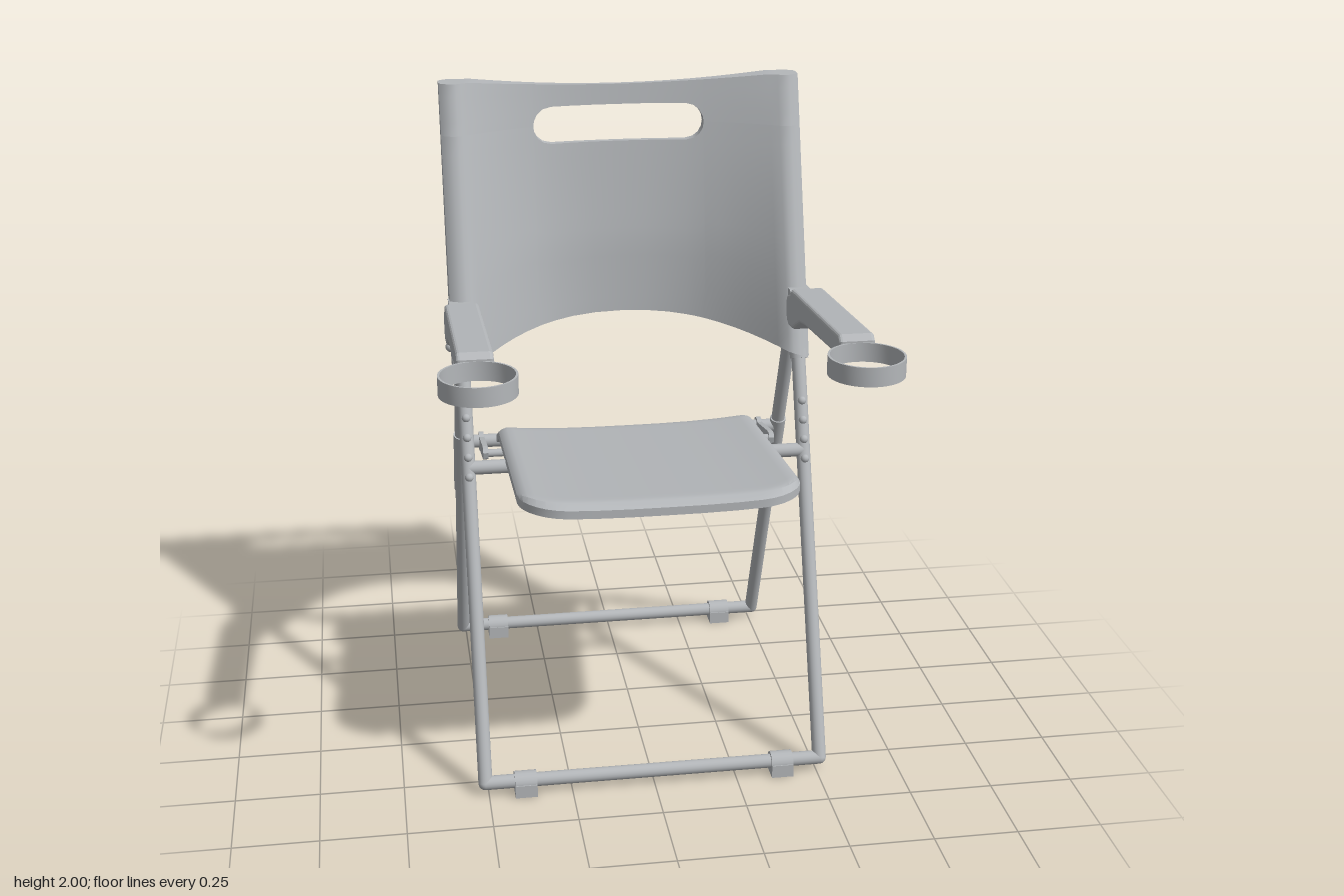
import * as THREE from 'three';
import { toCreasedNormals } from 'three/addons/utils/BufferGeometryUtils.js';

const grey = new THREE.MeshStandardMaterial({ color: 0xb4b7ba });
grey.name = 'paintedGrey';

const V = (x, y, z) => new THREE.Vector3(x, y, z);
const clamp = THREE.MathUtils.clamp;
const mirror = (half) => [...half.slice(1).reverse().map((x) => -x), ...half];

function add(parent, name, geometry, x = 0, y = 0, z = 0) {
  const mesh = new THREE.Mesh(geometry, grey);
  mesh.name = name;
  mesh.position.set(x, y, z);
  parent.add(mesh);
  return mesh;
}

// Round bar between two points
function rod(parent, name, a, b, r) {
  const mesh = add(parent, name, new THREE.CylinderGeometry(r, r, a.distanceTo(b), 20));
  mesh.position.copy(a).lerp(b, 0.5);
  mesh.quaternion.setFromUnitVectors(V(0, 1, 0), b.clone().sub(a).normalize());
  return mesh;
}

// Closed curved sheet: columns along x, rows from v0(x) to v1(x), point(x, v, side) gives each skin
function sheet(xs, v0, v1, rows, point) {
  const pos = [], index = [], ring = 2 * (rows + 1), last = xs.length - 1;
  for (const x of xs) {
    for (let k = 0; k < ring; k++) {
      const side = k > rows ? 1 : 0;
      const j = side ? ring - 1 - k : k;
      pos.push(...point(x, v0(x) + (v1(x) - v0(x)) * j / rows, side));
    }
  }
  const quad = (a, b, c, d) => index.push(a, b, c, a, c, d);
  for (let i = 0; i < last; i++) {
    for (let k = 0; k < ring; k++) {
      const n = (k + 1) % ring;
      quad(i * ring + k, (i + 1) * ring + k, (i + 1) * ring + n, i * ring + n);
    }
  }
  for (let j = 0; j < rows; j++) {
    const b = ring - 1 - j, e = last * ring;
    quad(j, j + 1, b - 1, b);
    quad(e + j, e + b, e + b - 1, e + j + 1);
  }
  const g = new THREE.BufferGeometry();
  g.setAttribute('position', new THREE.Float32BufferAttribute(pos, 3));
  g.setIndex(index);
  return toCreasedNormals(g, 0.6);
}

// Side outline of [z, y] points, extruded across x and centred on x = 0
function sidePlate(points, width, bevel) {
  const shape = new THREE.Shape(points.map(([z, y]) => new THREE.Vector2(-z, y)));
  const g = new THREE.ExtrudeGeometry(shape, {
    depth: width - 2 * bevel, bevelEnabled: bevel > 0, bevelSize: bevel, bevelThickness: bevel,
    bevelOffset: -bevel, bevelSegments: 3,
  });
  g.translate(0, 0, bevel - width / 2);
  return g.rotateY(Math.PI / 2);
}

// Points on the two leg lines at height y
const frontLeg = (x, y) => V(x, y, 0.325 - 0.382 * (y - 0.04));
const rearLeg = (x, y) => V(x, y, -0.71 + 0.406 * (y - 0.04));

function addBackrest(group) {
  const back = new THREE.Group();
  back.name = 'backrest';
  group.add(back);
  const xs = mirror([0, 0.08, 0.15, 0.205, 0.23, 0.247, 0.257, 0.26, 0.3, 0.34, 0.38, 0.42, 0.45, 0.475, 0.49, 0.51, 0.53, 0.54]);
  const bottom = (x) => 1.27 - 0.08 * (x / 0.54) ** 2;
  const top = (x) => 1.97 + 0.03 * Math.min(1, Math.abs(x) / 0.45) ** 2;
  // Half height of the rounded hand slot
  const slot = (x) => {
    const d = Math.max(0, Math.abs(x) - 0.205);
    return Math.sqrt(Math.max(0, 0.055 ** 2 - d * d));
  };
  const skin = (x, y, side) => {
    const a = Math.abs(x), t = Math.min(1, a / 0.475);
    const round = a > 0.475 ? 0.022 * ((a - 0.5) / 0.04) ** 2 : 0.022 * 0.39 * t ** 6;
    if (side === 0) {
      const mid = -0.385 - 0.02 * (y - 1.27) - 0.08 * Math.max(0, y - 1.5);
      const edge = -0.08 - 0.325 * (y - 1.19);
      return [x, y, mid + (edge - mid) * t ** 2.5 - round];
    }
    const mid = -0.412 - 0.02 * (y - 1.27) - 0.065 * Math.max(0, y - 1.5);
    const edge = -0.22 - 0.265 * (y - 1.2);
    return [x, y, mid + (edge - mid) * t ** 2 + round];
  };
  add(back, 'backrestLowerPanel', sheet(xs, bottom, (x) => 1.855 - slot(x), 12, skin));
  add(back, 'backrestUpperPanel', sheet(xs, (x) => 1.855 + slot(x), top, 4, skin));
  // Small catches on the rear face
  add(back, 'rearCatch', new THREE.BoxGeometry(0.04, 0.04, 0.05), -0.26, 1.64, -0.425);
  add(back, 'rearCatch', new THREE.BoxGeometry(0.04, 0.04, 0.05), -0.43, 1.64, -0.405);
}

function addSeat(group) {
  const xs = mirror([0, 0.1, 0.2, 0.27, 0.3, 0.33, 0.355, 0.375, 0.388, 0.396, 0.4]);
  const front = (x) => {
    const d = Math.max(0, Math.abs(x) - 0.27);
    return -(0.4 + Math.sqrt(Math.max(0, 0.13 ** 2 - d * d)));
  };
  const skin = (x, v, side) => {
    const z = -v, a = Math.abs(x);
    let y = 1.012 + 0.1 * (z - 0.53) - 0.4 * Math.max(0, -0.26 - z);
    y += 0.018 * (a / 0.4) ** 3;
    // Rolled rim
    const rim = clamp(Math.max((a - 0.37) / 0.03, (z + front(x) + 0.035) / 0.035), 0, 1);
    return [x, side ? y - 0.042 : y - 0.018 * rim * rim, z];
  };
  add(group, 'seat', sheet(xs, front, () => 0.38, 40, skin));
  for (const s of [-1, 1]) {
    // Rails under the seat
    add(group, 'seatRail', sidePlate([[0.07, 0.935], [0.06, 0.895], [0.03, 0.885], [-0.41, 0.82],
      [-0.405, 0.86], [-0.37, 0.88], [-0.24, 0.93], [0.05, 0.955]], 0.135, 0), s * 0.272);
    // Folding links beside the seat
    add(group, 'foldingLink', sidePlate([[-0.17, 0.9], [-0.175, 0.88], [-0.19, 0.872], [-0.385, 0.835],
      [-0.405, 0.85], [-0.39, 0.875], [-0.2, 0.912], [-0.18, 0.912]], 0.016, 0), s * 0.447);
    rod(group, 'linkPin', V(s * 0.33, 0.892, -0.19), V(s * 0.455, 0.892, -0.19), 0.012);
    rod(group, 'linkWasher', V(s * 0.44, 0.86, -0.375), V(s * 0.455, 0.86, -0.375), 0.03);
  }
}

function addFrames(group) {
  for (const [name, leg, topY] of [['front', frontLeg, 1.6], ['rear', rearLeg, 1.24]]) {
    const foot = leg(0, 0.04);
    rod(group, name + 'FootRail', leg(-0.51, 0.04), leg(0.51, 0.04), 0.021);
    const barY = name === 'front' ? 0.92 : 0.86;
    rod(group, name + 'CrossBar', leg(-0.51, barY), leg(0.51, barY), 0.021);
    for (const s of [-1, 1]) {
      rod(group, name + 'Leg', leg(s * 0.51, 0.04), leg(s * 0.51, topY), 0.021);
      add(group, name + 'Corner', new THREE.SphereGeometry(0.021, 20, 12), s * 0.51, 0.04, foot.z);
      // Foot clips: flat base with a rounded top
      add(group, name + 'FootClip', new THREE.BoxGeometry(0.066, 0.04, 0.07), s * 0.39, 0.02, foot.z);
      rod(group, name + 'FootClipTop', V(s * 0.39 - 0.033, 0.037, foot.z), V(s * 0.39 + 0.033, 0.037, foot.z), 0.032);
    }
  }
  for (const s of [-1, 1]) {
    rod(group, 'legCollar', frontLeg(s * 0.512, 1.18), frontLeg(s * 0.512, 1.3), 0.028);
    rod(group, 'rearLegSleeve', rearLeg(s * 0.51, 0.67), rearLeg(s * 0.51, 0.89), 0.025);
    add(group, 'pivotScrew', new THREE.SphereGeometry(0.016, 14, 10), s * 0.54, 1.235, -0.212);
    // Rows of rivets
    for (const y of [0.9, 0.955, 1.01, 1.065]) {
      const p = frontLeg(s * 0.51, y);
      add(group, 'frontRivet', new THREE.SphereGeometry(0.013, 12, 8), p.x, p.y, p.z + 0.018);
    }
    for (const y of [0.68, 0.73, 0.78]) {
      const p = rearLeg(s * 0.51, y);
      add(group, 'rearRivet', new THREE.SphereGeometry(0.013, 12, 8), p.x, p.y - 0.008, p.z - 0.021);
    }
  }
}

function addArm(group, s) {
  const arm = new THREE.Group();
  arm.name = s > 0 ? 'leftArm' : 'rightArm';
  arm.position.x = s * 0.512;
  group.add(arm);
  add(arm, 'armrest', sidePlate([[0.55, 1.41], [0.55, 1.455], [0.53, 1.47], [-0.035, 1.424], [-0.05, 1.405],
    [-0.09, 1.39], [-0.1, 1.365], [-0.085, 1.315], [-0.06, 1.302], [-0.01, 1.308], [0.04, 1.335],
    [0.08, 1.355], [0.14, 1.367]], 0.1, 0.01));
  add(arm, 'armBracket', sidePlate([[-0.07, 1.305], [-0.125, 1.295], [-0.2, 1.29], [-0.2, 1.39],
    [-0.125, 1.395], [-0.08, 1.375]], 0.064, 0));
  // Cup ring at the end of the arm
  const profile = [[0.098, 1.397], [0.104, 1.397], [0.104, 1.45], [0.098, 1.45], [0.098, 1.397]];
  const ring = new THREE.LatheGeometry(profile.map(([r, y]) => new THREE.Vector2(r, y)), 48);
  add(arm, 'cupRing', toCreasedNormals(ring, 0.6), 0, 0, 0.649);
}

export function createModel() {
  const group = new THREE.Group();
  group.name = 'foldingChair';
  addFrames(group);
  addBackrest(group);
  addSeat(group);
  for (const s of [-1, 1]) addArm(group, s);
  return group;
}
